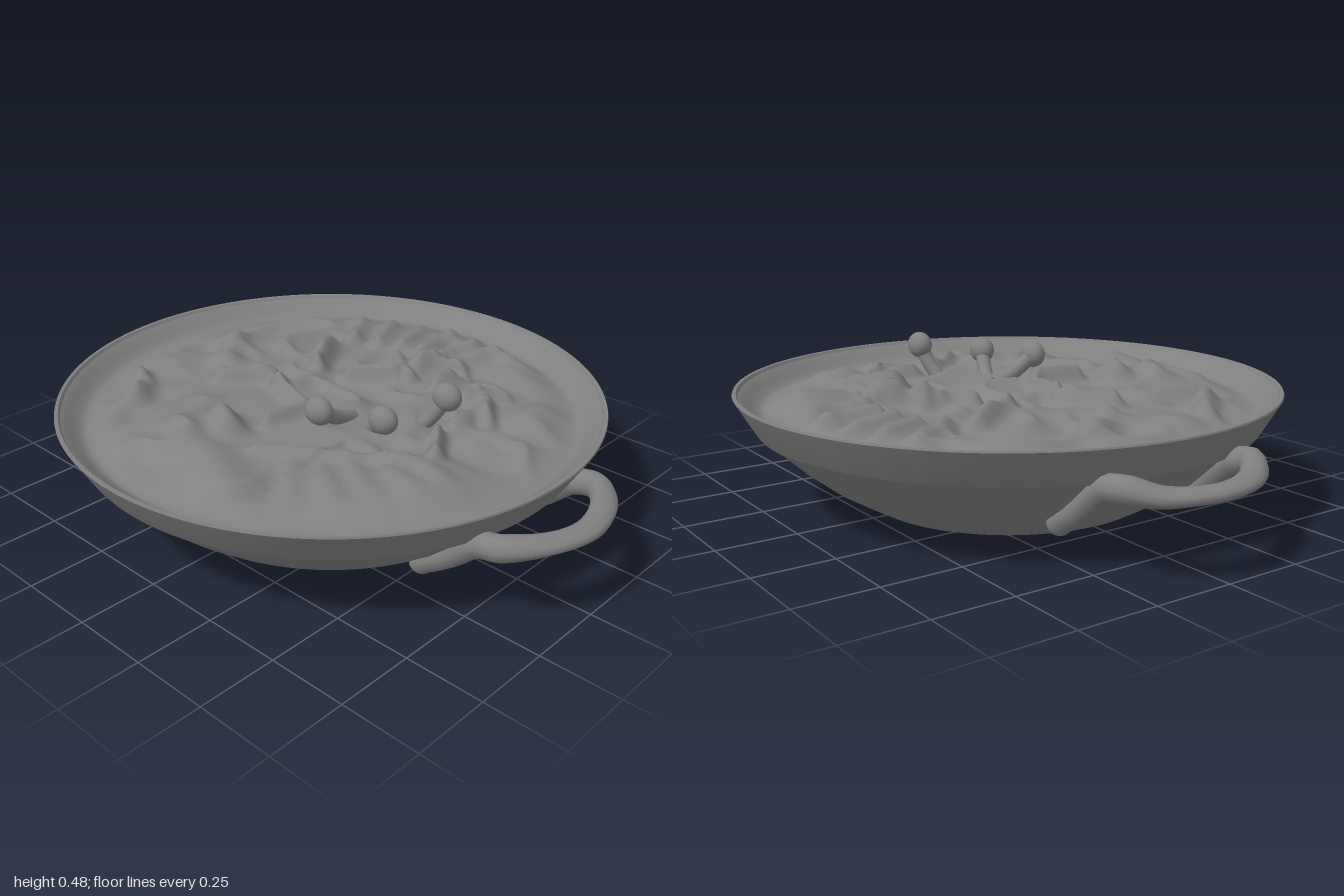
import * as THREE from 'three';
import { toCreasedNormals } from 'three/addons/utils/BufferGeometryUtils.js';

const mat = new THREE.MeshStandardMaterial({ color: 0x808080, side: THREE.DoubleSide });
const V = (x, y, z) => new THREE.Vector3(x, y, z);
const { lerp, clamp, smoothstep } = THREE.MathUtils;

function add(parent, name, geometry) {
  const mesh = new THREE.Mesh(geometry, mat);
  mesh.name = name;
  parent.add(mesh);
  return mesh;
}

// Smooth value noise
function hash(i, j) {
  const s = Math.sin(i * 127.1 + j * 311.7) * 43758.5453;
  return s - Math.floor(s);
}
function noise(x, z) {
  const i = Math.floor(x), j = Math.floor(z);
  const u = smoothstep(x - i, 0, 1), v = smoothstep(z - j, 0, 1);
  return lerp(lerp(hash(i, j), hash(i + 1, j), u), lerp(hash(i, j + 1), hash(i + 1, j + 1), u), v) * 2 - 1;
}

// Main lumps of the filling: x0, z0, x1, z1, width, height
const folds = [
  [-0.32, -0.33, -0.20, -0.14, 0.03, 0.05],
  [-0.58, -0.12, -0.46, 0.02, 0.05, 0.04],
  [-0.36, 0.14, -0.24, 0.02, 0.03, 0.05],
  [-0.18, 0.06, 0.00, 0.11, 0.025, 0.045],
  [-0.58, 0.32, -0.46, 0.42, 0.04, 0.04],
  [-0.11, 0.36, -0.05, 0.39, 0.05, 0.075],
  [-0.14, 0.50, 0.18, 0.60, 0.09, 0.045],
  [0.10, 0.42, 0.44, 0.16, 0.022, 0.025],
  [0.00, 0.28, 0.03, 0.14, 0.025, 0.05],
  [0.42, -0.02, 0.50, 0.09, 0.022, 0.045],
  [-0.08, -0.18, 0.04, -0.26, 0.025, 0.05],
  [0.23, -0.63, 0.34, -0.67, 0.035, 0.035],
];
// Fanned folds at the back
for (let i = 0; i < 6; i++) {
  const a = lerp(-2.16, -1.3, i / 5);
  folds.push([0.7 * Math.cos(a), 0.7 * Math.sin(a), 0.5 * Math.cos(a), 0.5 * Math.sin(a), 0.028, 0.04]);
}
// Curled strips scattered in an arc over the back of the middle
for (let i = 0; i < 9; i++) {
  const a = -2.7 + i * 0.33, r = 0.17 + 0.13 * hash(i, 3), turn = hash(i, 8) * 3;
  const x = 0.2 + r * Math.cos(a), z = -0.22 + r * Math.sin(a);
  folds.push([x, z, x + 0.12 * Math.cos(turn), z + 0.12 * Math.sin(turn), 0.025, 0.045]);
}

function fillingHeight(x, z) {
  const r = Math.hypot(x, z);
  const wx = x + 0.06 * noise(x * 4 + 9, z * 4), wz = z + 0.06 * noise(x * 4, z * 4 + 5);
  // Small wrinkles are weaker on the fanned sheets and the crescent
  const calm = (x > -0.4 && z < -0.45) || (x > 0.25 && z > 0.2) ? 0.3 : 1;
  let y = 0.328 + 0.02 * noise(wx * 5 + 3, wz * 5) + 0.018 * calm * (1 - 2 * Math.abs(noise(wx * 8, wz * 8 + 7)));
  for (const [x0, z0, x1, z1, w, h] of folds) {
    const dx = x1 - x0, dz = z1 - z0;
    const t = clamp(((x - x0) * dx + (z - z0) * dz) / (dx * dx + dz * dz), 0, 1);
    const d = Math.hypot(x - x0 - t * dx, z - z0 - t * dz) / w;
    y += h * Math.exp(-d * d);
  }
  // Ribbed crescent along the front left
  const band = Math.exp(-(((r - 0.56) / 0.11) ** 2));
  const a = Math.atan2(z, x);
  const arc = smoothstep(a, 0, 0.25) * (1 - smoothstep(a, 1.1, 1.25));
  y += arc * band * (0.012 + 0.007 * Math.sin(a * 34 + r * 8));
  // Settle near the edge, then sweep up the inner wall to the rim
  const top = z > 0.3 && x < 0.1 ? 0.44 : 0.405;
  y = lerp(Math.min(y, top), 0.305, smoothstep(r, 0.64, 0.78));
  return lerp(y, 0.366, smoothstep(r, 0.77, 0.87));
}

function fillingGeometry() {
  const g = new THREE.RingGeometry(0.001, 0.853, 180, 85);
  g.rotateX(-Math.PI / 2);
  const p = g.attributes.position;
  for (let i = 0; i < p.count; i++) p.setY(i, fillingHeight(p.getX(i), p.getZ(i)));
  g.computeVertexNormals();
  return g;
}

const tube = (points, radius, segments = 24) =>
  new THREE.TubeGeometry(new THREE.CatmullRomCurve3(points), segments, radius, 12);

function makeHandle(side, tipY) {
  const handle = new THREE.Group();
  handle.name = side > 0 ? 'leftHandle' : 'rightHandle';
  const half = [
    [0.575, 0.095, 0.228], [0.67, 0.16, 0.23], [0.765, 0.237, 0.233],
    [0.84, 0.256, 0.23], [0.915, tipY, 0.155],
  ];
  const path = [
    ...half.map(([x, y, z]) => V(side * x, y, z)),
    V(side * 0.961, tipY, 0),
    ...half.slice().reverse().map(([x, y, z]) => V(side * x, y, -z)),
  ];
  // The grip flattens towards its outer edge
  const loop = tube(path, 0.039, 90);
  const p = loop.attributes.position;
  for (let i = 0; i < p.count; i++) {
    const flat = lerp(1, 0.55, smoothstep(Math.abs(p.getX(i)), 0.84, 0.98));
    p.setY(i, tipY + (p.getY(i) - tipY) * flat);
  }
  add(handle, 'handleLoop', toCreasedNormals(loop, 1.2));
  for (const end of [path[0], path[path.length - 1]]) {
    add(handle, 'handleEnd', new THREE.SphereGeometry(0.039, 14, 10)).position.copy(end);
  }
  return handle;
}

function makeMushroom(cap, foot) {
  const mushroom = new THREE.Group();
  mushroom.name = 'mushroom';
  const mid = cap.clone().lerp(foot, 0.5).add(V(0, -0.01, 0));
  add(mushroom, 'stalk', tube([cap, mid, foot], 0.024));
  const head = add(mushroom, 'cap', new THREE.SphereGeometry(0.045, 20, 14));
  head.position.copy(cap);
  head.scale.set(1.08, 0.97, 0.85);
  return mushroom;
}

export function createModel() {
  const model = new THREE.Group();
  model.name = 'filledPan';

  // Pan: flat base, bowed wall, stepped flaring rim, hollow inside
  const profile = [
    [0, 0], [0.44, 0], [0.46, 0.006], [0.52, 0.04], [0.60, 0.088], [0.68, 0.15], [0.75, 0.215],
    [0.778, 0.243], [0.797, 0.25], [0.803, 0.258], [0.864, 0.362], [0.862, 0.367], [0.852, 0.366],
    [0.835, 0.34], [0.785, 0.265], [0.72, 0.205], [0.58, 0.10], [0.44, 0.03], [0, 0.03],
  ].map(([x, y]) => new THREE.Vector2(x, y));
  add(model, 'pan', toCreasedNormals(new THREE.LatheGeometry(profile, 128), 0.6));

  model.add(makeHandle(1, 0.262), makeHandle(-1, 0.238));

  add(model, 'filling', fillingGeometry());

  // Mushrooms standing out of the filling
  model.add(
    makeMushroom(V(0.14, 0.412, 0.20), V(0.13, 0.33, 0.04)),
    makeMushroom(V(0.315, 0.41, 0.11), V(0.21, 0.33, 0.06)),
    makeMushroom(V(0.39, 0.438, -0.095), V(0.32, 0.33, -0.06)),
  );

  return model;
}
